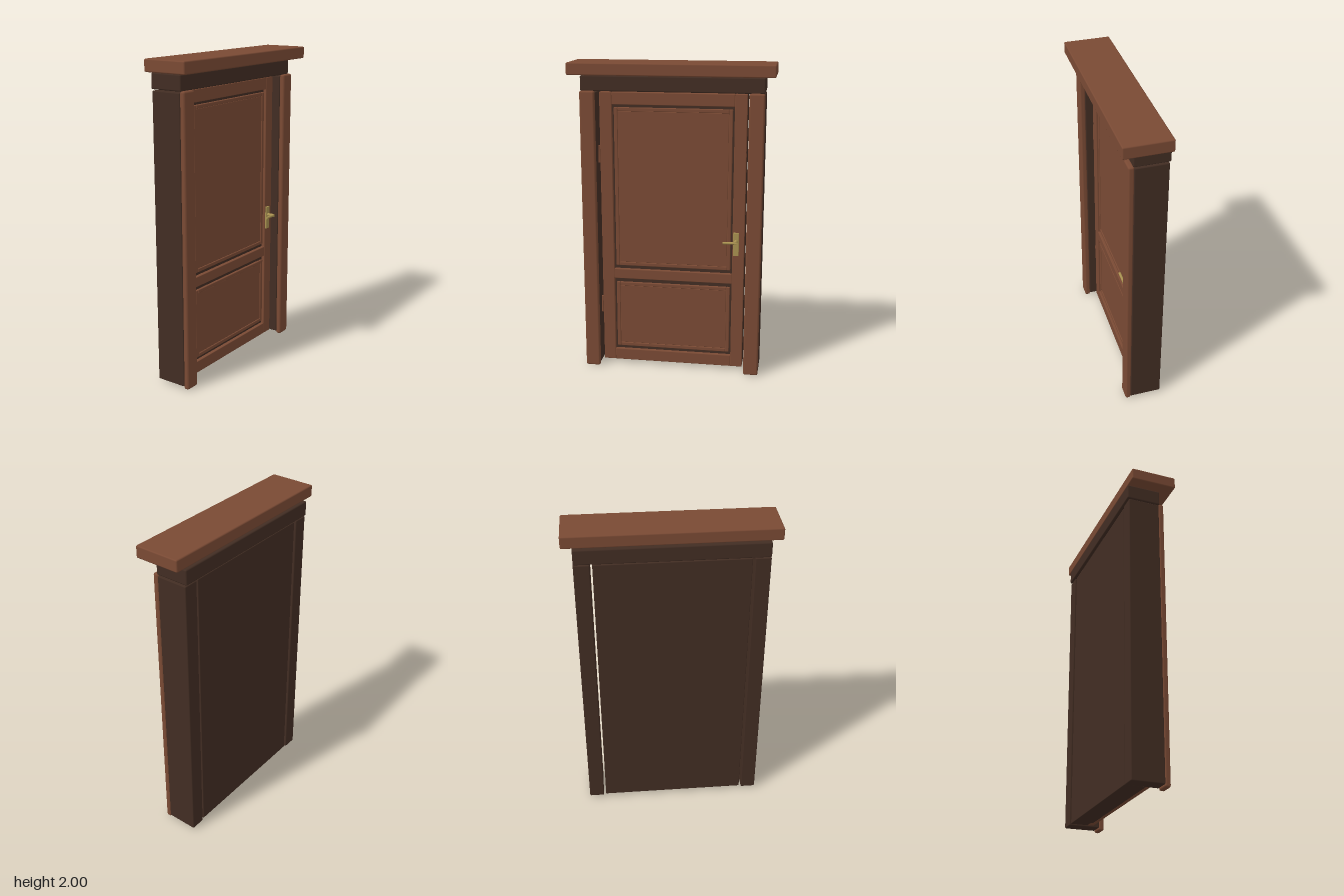
import * as THREE from 'three';
import { RoundedBoxGeometry } from 'three/addons/geometries/RoundedBoxGeometry.js';

export function createModel() {
  const door = new THREE.Group();
  door.name = 'door';
  const wood = new THREE.MeshStandardMaterial({ name: 'warm wood', color: 0x7a4a34 });
  const darkWood = new THREE.MeshStandardMaterial({ name: 'dark wood', color: 0x422d23 });
  const brass = new THREE.MeshStandardMaterial({ name: 'brass', color: 0xa89150 });

  // Box given by its limits, with chamfered edges of size r
  function box(name, mat, [x0, x1], [y0, y1], [z0, z1], r = 0.004, parent = door) {
    const mesh = new THREE.Mesh(new RoundedBoxGeometry(x1 - x0, y1 - y0, z1 - z0, 1, r), mat);
    mesh.position.set((x0 + x1) / 2, (y0 + y1) / 2, (z0 + z1) / 2);
    mesh.name = name;
    parent.add(mesh);
    return mesh;
  }

  function rod(name, mat, radius, from, to, parent = door) {
    const a = new THREE.Vector3(...from), b = new THREE.Vector3(...to);
    const dir = b.clone().sub(a);
    const mesh = new THREE.Mesh(new THREE.CylinderGeometry(radius, radius, dir.length(), 12), mat);
    mesh.position.copy(a).add(b).multiplyScalar(0.5);
    mesh.quaternion.setFromUnitVectors(new THREE.Vector3(0, 1, 0), dir.normalize());
    mesh.name = name;
    parent.add(mesh);
  }

  // Cornice and lintel
  box('cornice', wood, [-0.635, 0.635], [1.925, 2], [-0.142, 0.148], 0.008);
  box('lintel', darkWood, [-0.57, 0.57], [1.822, 1.917], [-0.148, 0.067], 0.008);

  // Jambs with lighter casings on the front
  for (const s of [-1, 1]) {
    const span = (a, b) => (s > 0 ? [a, b] : [-b, -a]);
    box('jamb', darkWood, span(0.476, 0.571), [0.015, 1.815], [-0.14, 0.06], 0.006);
    box('casing', wood, span(0.476, 0.571), [0, 1.825], [0.058, 0.094], 0.012);
  }

  // Leaf: dark core with a raised frame of stiles and rails
  const leaf = new THREE.Group();
  leaf.name = 'leaf';
  door.add(leaf);
  const frameZ = [-0.03, 0.015];
  box('core', darkWood, [-0.463, 0.461], [0.02, 1.812], [-0.135, -0.008], 0.004, leaf);
  box('leftStile', wood, [0.385, 0.461], [0.02, 1.812], frameZ, 0.004, leaf);
  box('rightStile', wood, [-0.463, -0.385], [0.02, 1.812], frameZ, 0.004, leaf);
  for (const [name, y0, y1] of [['topRail', 1.735, 1.812], ['middleRail', 0.595, 0.66], ['bottomRail', 0.02, 0.096]])
    box(name, wood, [-0.385, 0.385], [y0, y1], frameZ, 0.004, leaf);

  // Panels: flat field with a bead around it
  for (const [name, y0, y1] of [['upperPanel', 0.683, 1.717], ['lowerPanel', 0.117, 0.567]]) {
    const panel = new THREE.Group();
    panel.name = name;
    leaf.add(panel);
    const beadZ = [-0.02, 0.008], w = 0.373, t = 0.023;
    box('field', wood, [-w + t, w - t], [y0 + t, y1 - t], [-0.02, 0.003], 0.003, panel);
    box('sideBead', wood, [-w, -w + t], [y0, y1], beadZ, 0.004, panel);
    box('sideBead', wood, [w - t, w], [y0, y1], beadZ, 0.004, panel);
    box('bottomBead', wood, [-w + t, w - t], [y0, y0 + t], beadZ, 0.004, panel);
    box('topBead', wood, [-w + t, w - t], [y1 - t, y1], beadZ, 0.004, panel);
  }

  // Hinges in the gap on the right side
  for (const y of [0.355, 1.365]) rod('hinge', wood, 0.007, [-0.469, y, 0.008], [-0.469, y + 0.11, 0.008]);

  // Lever handle on its plate
  const handle = new THREE.Group();
  handle.name = 'handle';
  door.add(handle);
  box('handlePlate', brass, [0.39, 0.427], [0.787, 0.94], [0.012, 0.025], 0.003, handle);
  rod('spindle', brass, 0.011, [0.408, 0.884, 0.022], [0.408, 0.884, 0.073], handle);
  rod('lever', brass, 0.008, [0.416, 0.884, 0.067], [0.327, 0.884, 0.067], handle);

  return door;
}
